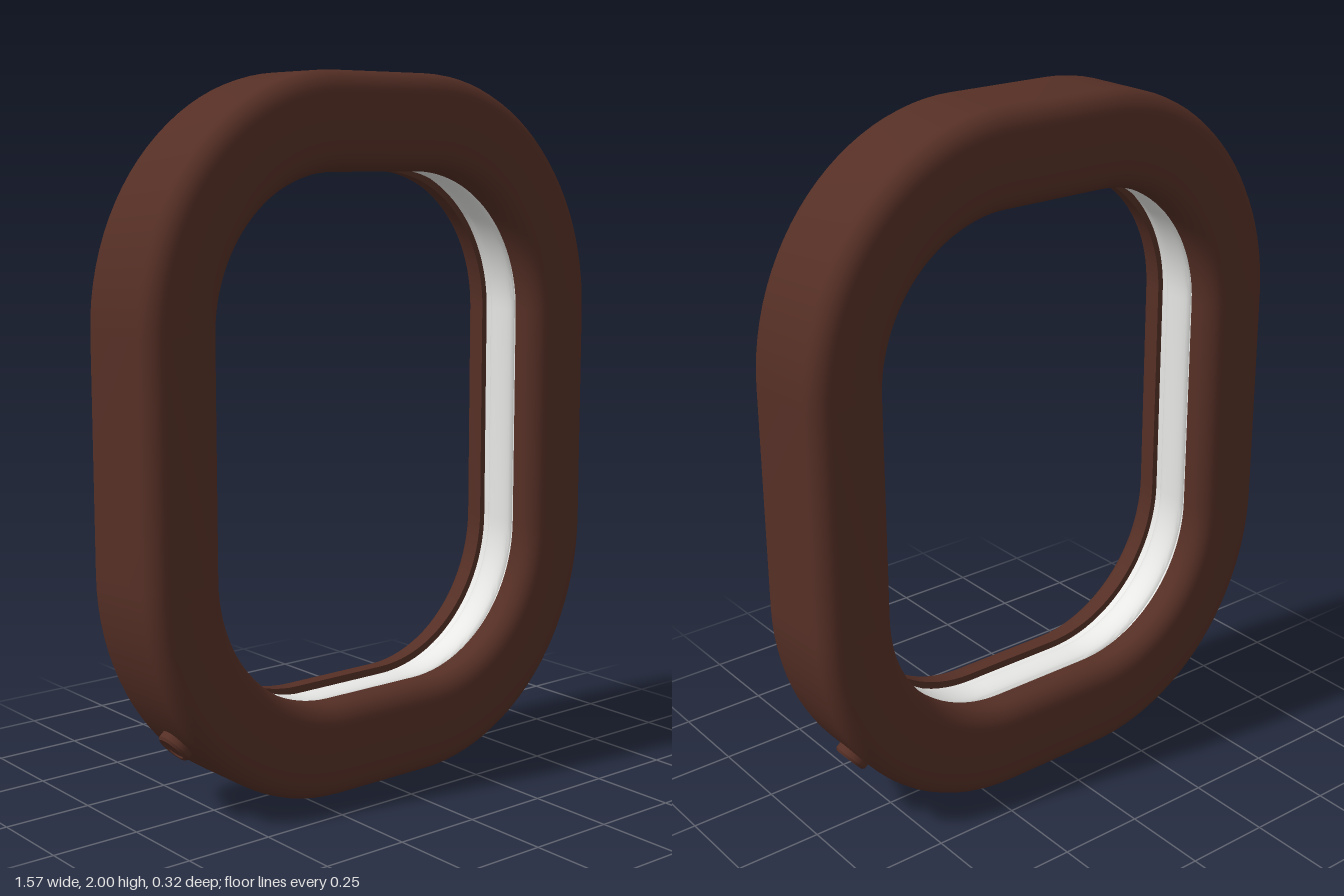
import * as THREE from 'three';
import { toCreasedNormals } from 'three/addons/utils/BufferGeometryUtils.js';

const CX = 0.16, LOW = 0.68, HIGH = 1.32; // centres of the elliptical corners
const ARC = 24;                          // segments per corner

// Point on the rounded outline: u = 0 is the outer edge, u = 1 the inner edge
function outline(u, i) {
  const corner = Math.floor(i / (ARC + 1)), k = i % (ARC + 1);
  const a = (corner + k / ARC) * Math.PI / 2;
  const rx = THREE.MathUtils.lerp(0.625, 0.4, u);
  const ry = THREE.MathUtils.lerp(0.68, 0.412, u);
  const sx = corner === 0 || corner === 3 ? 1 : -1;
  return [sx * CX + rx * Math.cos(a), (corner < 2 ? HIGH : LOW) + ry * Math.sin(a)];
}

// Sweep a profile of [u, z] points around the outline
function sweep(profile, closed) {
  const n = 4 * (ARC + 1), m = profile.length, pos = [], index = [];
  for (let i = 0; i < n; i++) {
    for (const [u, z] of profile) pos.push(...outline(u, i), z);
  }
  for (let i = 0; i < n; i++) {
    for (let j = 0; j < (closed ? m : m - 1); j++) {
      const i2 = (i + 1) % n, j2 = (j + 1) % m;
      const a = i * m + j, b = i2 * m + j, c = i2 * m + j2, d = i * m + j2;
      index.push(a, b, c, a, c, d);
    }
  }
  const g = new THREE.BufferGeometry();
  g.setAttribute('position', new THREE.Float32BufferAttribute(pos, 3));
  g.setIndex(index);
  return toCreasedNormals(g, 0.6);
}

// Quarter-round profile corner
function fillet(u, z, ru, rz, from) {
  return Array.from({ length: 7 }, (_, k) => {
    const a = from + k / 6 * Math.PI / 2;
    return [u - ru * Math.cos(a), z + rz * Math.sin(a)];
  });
}

export function createModel() {
  const brown = new THREE.MeshStandardMaterial({ color: 0x552f25 });
  brown.name = 'dark brown';
  const white = new THREE.MeshStandardMaterial({ color: 0xf0f0ee });
  white.name = 'light white';

  const model = new THREE.Group();
  model.name = 'ringFrame';
  const add = (geometry, material, name, parent = model) => {
    const mesh = new THREE.Mesh(geometry, material);
    mesh.name = name;
    parent.add(mesh);
    return mesh;
  };

  // Rounded frame with a groove along its inner wall
  const D = 0.158, R = 0.055, U = 0.23, G = 0.072;
  const front = [
    ...fillet(U, D - R, U, R, 0),
    ...fillet(1 - U, D - R, U, R, Math.PI / 2),
    [1, G], [0.9, G],
  ];
  const back = front.map(([u, z]) => [u, -z]).reverse();
  add(sweep([...front, ...back], true), brown, 'frame');

  // Light strip in the groove: flat bed with a bulging diffuser
  add(sweep([[0.92, G], [0.92, -G]], false), white, 'lightBed');
  const bulge = Array.from({ length: 11 }, (_, k) => {
    const a = k / 10 * Math.PI;
    return [0.92 + 0.07 * Math.sin(a), 0.05 * Math.cos(a)];
  });
  add(sweep(bulge, false), white, 'lightDiffuser');

  // Small round buttons on the lower corners
  for (const side of [1, -1]) {
    const button = new THREE.Group();
    button.name = side > 0 ? 'leftButton' : 'rightButton';
    button.position.set(side * 0.605, 0.225, 0);
    button.quaternion.setFromUnitVectors(
      new THREE.Vector3(0, 1, 0), new THREE.Vector3(side * 0.75, -0.66, 0).normalize());
    const profile = [[0.05, -0.03], [0.05, 0.03], [0.044, 0.037], [0.036, 0.037], [0.033, 0.033], [0, 0.033]];
    const knob = new THREE.LatheGeometry(profile.map(([x, y]) => new THREE.Vector2(x, y)), 24);
    add(toCreasedNormals(knob, 0.6), brown, 'buttonCap', button);
    model.add(button);
  }
  return model;
}
